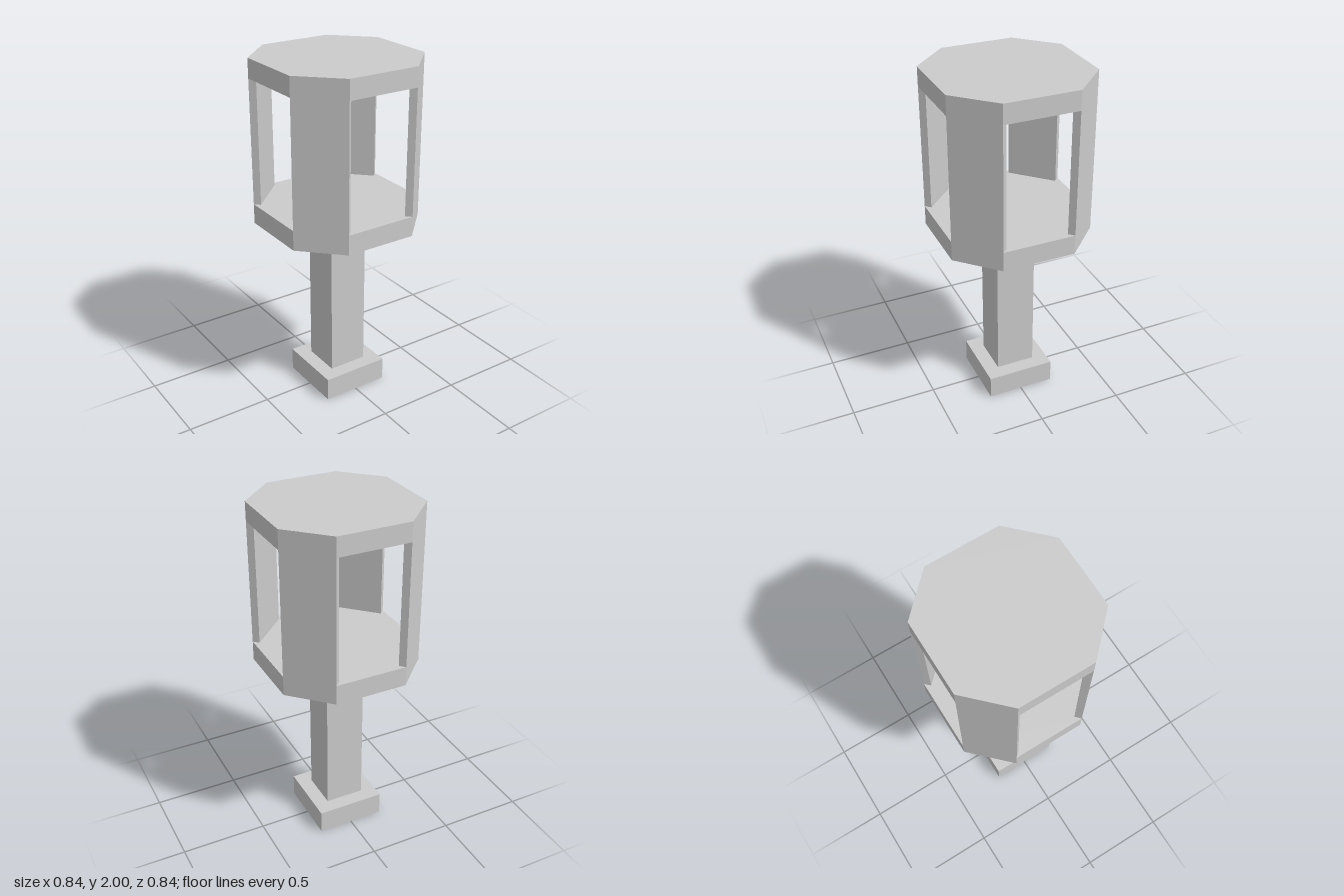
import * as THREE from 'three';

const material = new THREE.MeshStandardMaterial({ color: 0xcccccc, flatShading: true });

function addPart(parent, name, geometry, x, y, z) {
  const mesh = new THREE.Mesh(geometry, material);
  mesh.name = name;
  mesh.position.set(x, y, z);
  parent.add(mesh);
  return mesh;
}

export function createModel() {
  const model = new THREE.Group();
  model.name = 'lanternPost';

  // Square foot and post
  const footTop = 0.137, floorBottom = 1.055, floorTop = 1.17, roofBottom = 1.89, roofTop = 2;
  addPart(model, 'foot', new THREE.BoxGeometry(0.4, footTop, 0.4), 0, footTop / 2, 0);
  const postHeight = floorBottom - footTop;
  addPart(model, 'post', new THREE.BoxGeometry(0.23, postHeight, 0.23), 0, footTop + postHeight / 2, 0);

  // Octagonal floor and roof: a square with its corners cut
  const half = 0.42, flat = 0.21;
  const outline = new THREE.Shape([
    [flat, -half], [half, -flat], [half, flat], [flat, half],
    [-flat, half], [-half, flat], [-half, -flat], [-flat, -half],
  ].map(([x, y]) => new THREE.Vector2(x, y)));
  const addPlate = (name, bottom, top) => {
    const geometry = new THREE.ExtrudeGeometry(outline, { depth: top - bottom, bevelEnabled: false });
    geometry.rotateX(-Math.PI / 2);
    addPart(model, name, geometry, 0, bottom, 0);
  };
  addPlate('lanternFloor', floorBottom, floorTop);
  addPlate('lanternRoof', roofBottom, roofTop);

  // Four thin panels flush with the cut corners
  const thickness = 0.042;
  const width = (half - flat) * Math.SQRT2;
  const radius = (half + flat) / Math.SQRT2 - thickness / 2;
  const panelGeometry = new THREE.BoxGeometry(width, roofBottom - floorTop, thickness);
  for (let i = 0; i < 4; i++) {
    const angle = Math.PI / 4 + i * Math.PI / 2;
    const panel = addPart(model, 'cornerPanel', panelGeometry,
      Math.sin(angle) * radius, (floorTop + roofBottom) / 2, Math.cos(angle) * radius);
    panel.rotation.y = angle;
  }
  return model;
}
